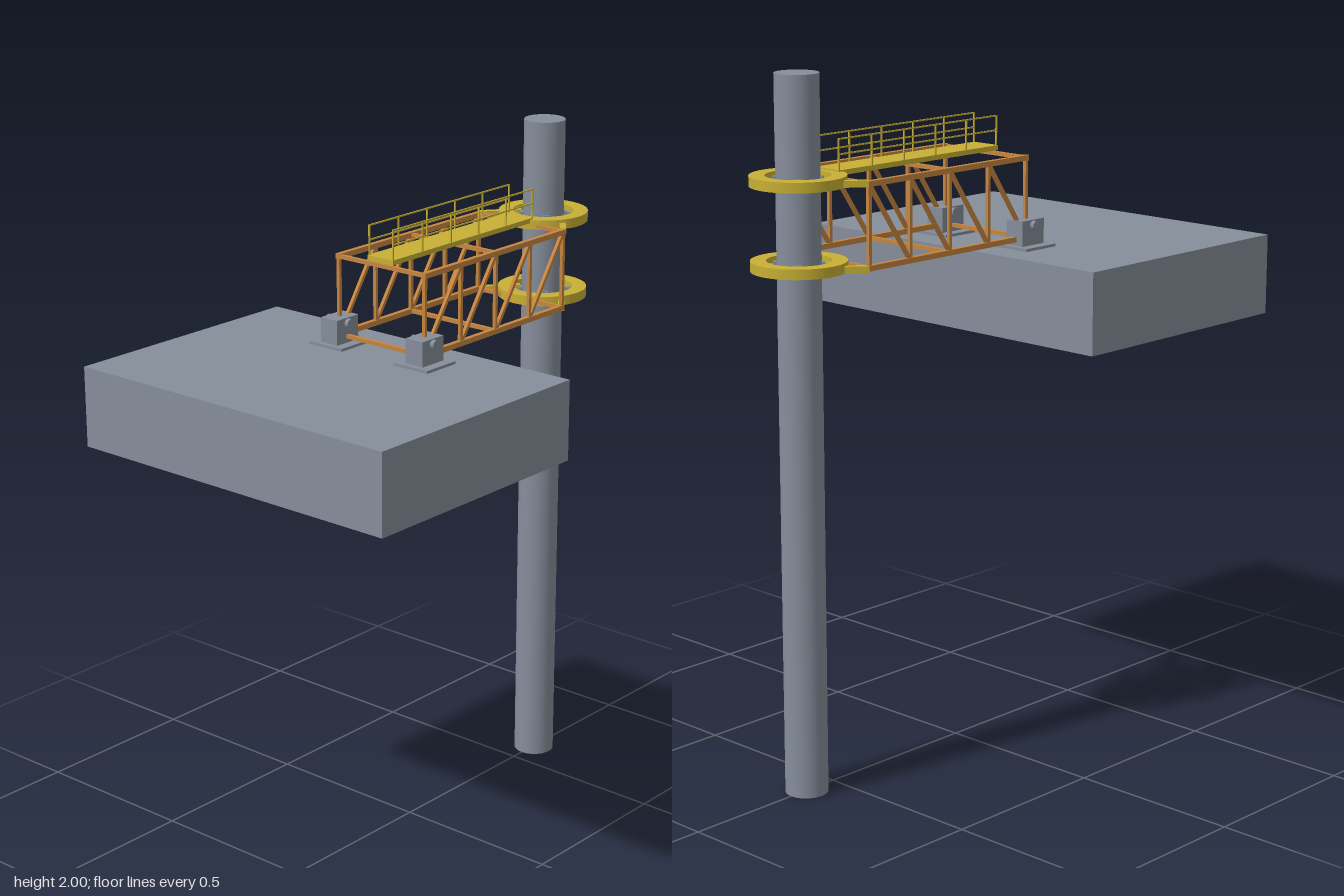
import * as THREE from 'three';

export function createModel() {
  const model = new THREE.Group();
  const material = (name, color) => {
    const m = new THREE.MeshStandardMaterial({ color });
    m.name = name;
    return m;
  };
  const grey = material('steel grey', 0x868e9b);
  const yellow = material('safety yellow', 0xc8b034);
  const orange = material('truss orange', 0xc6853e);

  const add = (name, geometry, mat, x = 0, y = 0, z = 0) => {
    const mesh = new THREE.Mesh(geometry, mat);
    mesh.name = name;
    mesh.position.set(x, y, z);
    model.add(mesh);
    return mesh;
  };
  const box = (name, mat, w, h, d, x, y, z) =>
    add(name, new THREE.BoxGeometry(w, h, d), mat, x, y, z);
  // Square bar running between two points
  const bar = (name, mat, a, b, w, h = w) => {
    const from = new THREE.Vector3(...a), to = new THREE.Vector3(...b);
    const mid = from.clone().add(to).multiplyScalar(0.5);
    const mesh = box(name, mat, w, h, from.distanceTo(to), mid.x, mid.y, mid.z);
    mesh.lookAt(to);
    return mesh;
  };

  const PILE_X = 0.6, TOP = 1.712, BOTTOM = 1.487, SIDE = 0.155;
  const X0 = -0.12, X1 = 0.492, PANELS = 4;
  const panelX = i => X0 + (X1 - X0) * i / PANELS;

  // Pile and floating deck
  add('pile', new THREE.CylinderGeometry(0.06, 0.06, 2, 40), grey, PILE_X, 1, 0);
  box('deck', grey, 0.766, 0.23, 1.074, -0.352, 1.346, 0);

  // Side trusses
  for (const s of [-1, 1]) {
    const z = s * SIDE;
    for (const y of [TOP, BOTTOM])
      bar('chord', orange, [X0 - 0.006, y, z], [X1 + 0.006, y, z], 0.015);
    for (let i = 0; i <= PANELS; i++) {
      bar('trussPost', orange, [panelX(i), BOTTOM, z], [panelX(i), TOP, z], 0.01);
      if (i < PANELS)
        bar('trussDiagonal', orange, [panelX(i), BOTTOM, z], [panelX(i + 1), TOP, z], 0.01);
    }
  }

  // Cross beams joining the two trusses
  for (const y of [TOP, BOTTOM])
    for (const i of [0, 2, 4])
      bar('crossBeam', orange, [panelX(i), y, -SIDE], [panelX(i), y, SIDE], 0.011);

  // Walkway with handrails
  box('walkway', yellow, 0.617, 0.014, 0.092, 0.1835, 1.728, 0);
  for (const s of [-1, 1]) {
    const z = s * 0.043;
    for (const y of [1.777, 1.818])
      bar('handrail', yellow, [X0, y, z], [X1, y, z], 0.004);
    for (let i = 0; i <= 5; i++) {
      const x = X0 + (X1 - X0) * i / 5;
      bar('railPost', yellow, [x, 1.73, z], [x, 1.82, z], 0.004);
    }
  }

  // Collar rings around the pile, with braces and guide pads
  const ringShape = new THREE.Shape().absarc(0, 0, 0.13, 0, Math.PI * 2);
  ringShape.holes.push(new THREE.Path().absarc(0, 0, 0.088, 0, Math.PI * 2, true));
  const ringGeometry = new THREE.ExtrudeGeometry(ringShape, {
    depth: 0.028, bevelEnabled: false, curveSegments: 40,
  }).rotateX(-Math.PI / 2);
  for (const y of [1.717, 1.489]) {
    add('collarRing', ringGeometry, yellow, PILE_X, y - 0.014, 0);
    for (const s of [-1, 1])
      bar('collarBrace', yellow, [X1, y - 0.004, s * SIDE], [0.592, y - 0.004, s * 0.075], 0.018);
    for (let i = 0; i < 4; i++) {
      const a = Math.PI / 4 + i * Math.PI / 2;
      const at = r => [PILE_X + r * Math.cos(a), y, r * Math.sin(a)];
      bar('guideArm', grey, at(0.066), at(0.095), 0.01);
      bar('guidePad', grey, at(0.058), at(0.068), 0.022);
    }
  }

  // Hinge bearings on the deck
  for (const s of [-1, 1]) {
    const z = s * SIDE;
    box('bearingPlate', grey, 0.12, 0.008, 0.12, X0, 1.465, z);
    box('bearingBlock', grey, 0.088, 0.075, 0.06, X0, 1.503, z);
    add('hingePin', new THREE.CylinderGeometry(0.013, 0.013, 0.084, 20).rotateX(Math.PI / 2),
      grey, X0, 1.525, z);
  }

  return model;
}
